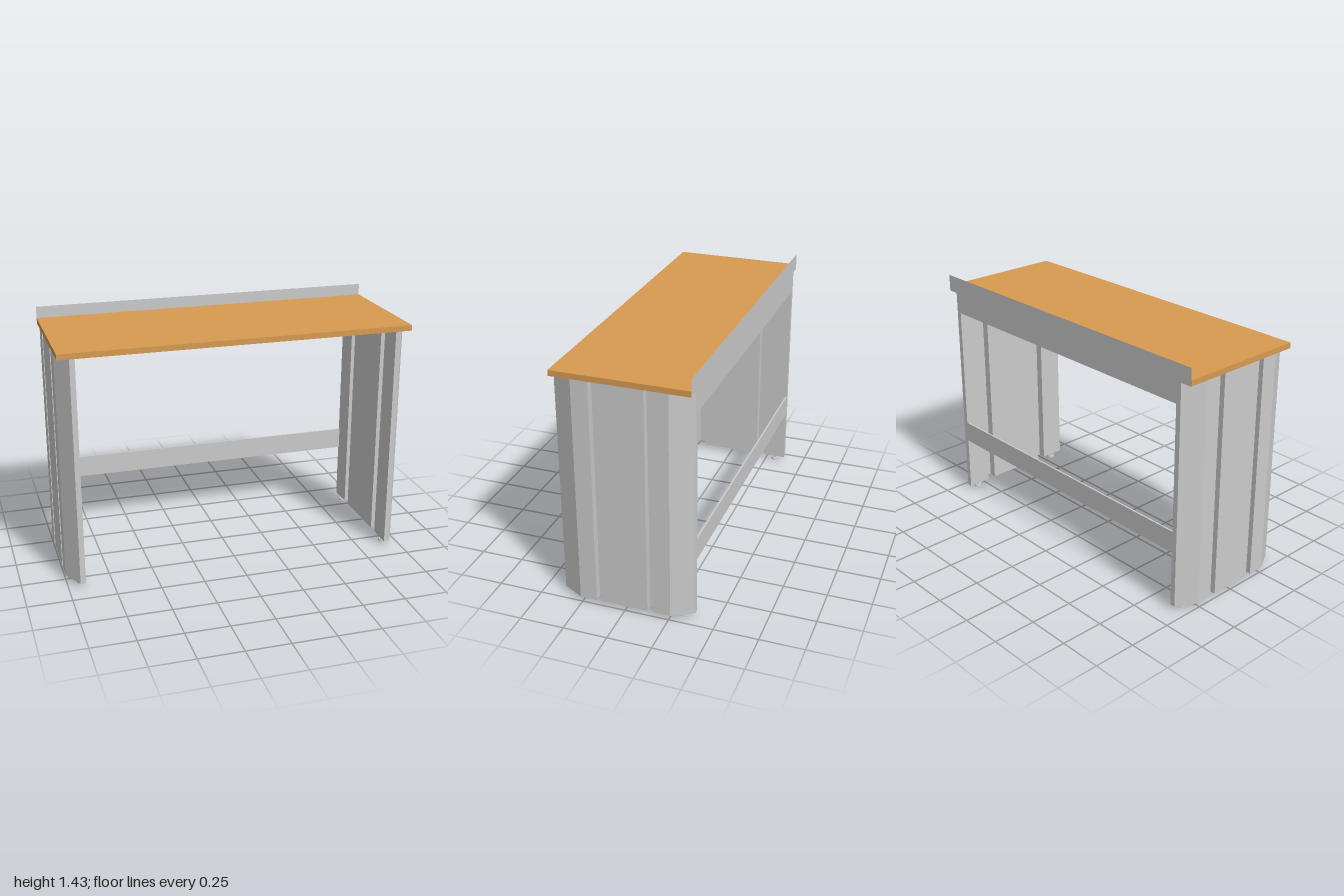
import * as THREE from 'three';

const GREY = 0xcccccc;
const WOOD = 0xd89b52;

function makeMesh(name, geometry, material) {
  const mesh = new THREE.Mesh(geometry, material);
  mesh.name = name;
  return mesh;
}

function box(name, w, h, d, x, y, z, material) {
  const mesh = makeMesh(name, new THREE.BoxGeometry(w, h, d), material);
  mesh.position.set(x, y, z);
  return mesh;
}

// Plan outline of one side panel: chamfered outer corners, grooves on both faces
function panelShape(halfDepth) {
  const inner = 0.905, edge = 0.935, outer = 1.0, groove = 0.045;
  const half = [
    [inner, 0.185], [inner + groove, 0.185], [inner + groove, 0.235], [inner, 0.235],
    [inner, halfDepth], [edge, halfDepth], [outer, 0.26],
    [outer, 0.165], [outer - groove, 0.165], [outer - groove, 0.13], [outer, 0.13],
  ];
  const mirrored = half.map(([x, z]) => [x, -z]).reverse();
  return new THREE.Shape([...half, ...mirrored].map(([x, z]) => new THREE.Vector2(x, z)));
}

export function createModel() {
  const group = new THREE.Group();
  group.name = 'workbench';

  const grey = new THREE.MeshStandardMaterial({ color: GREY });
  const sheet = new THREE.MeshStandardMaterial({ color: GREY, side: THREE.DoubleSide });
  const wood = new THREE.MeshStandardMaterial({ color: WOOD });

  const halfDepth = 0.378, underTop = 1.333, panelBottom = 0.028;

  // Wooden worktop
  group.add(box('tabletop', 2, 0.032, 0.754, 0, underTop + 0.016, 0.001, wood));

  // Side panels, each standing on two levelling feet
  const panelGeometry = new THREE.ExtrudeGeometry(panelShape(halfDepth), {
    depth: underTop - panelBottom, bevelEnabled: false,
  });
  panelGeometry.rotateX(-Math.PI / 2);
  const padGeometry = new THREE.CylinderGeometry(0.02, 0.022, 0.013, 24);
  const stemGeometry = new THREE.CylinderGeometry(0.01, 0.01, 0.02, 16);

  for (const side of [1, -1]) {
    const leg = new THREE.Group();
    leg.name = side > 0 ? 'leftLeg' : 'rightLeg';
    const panel = makeMesh('sidePanel', panelGeometry, grey);
    panel.position.y = panelBottom;
    leg.add(panel);
    for (const z of [0.31, -0.31]) {
      const pad = makeMesh('footPad', padGeometry, grey);
      pad.position.set(0.922, 0.0065, z);
      const stem = makeMesh('footStem', stemGeometry, grey);
      stem.position.set(0.922, 0.02, z);
      leg.add(pad, stem);
    }
    // The leg is symmetric front to back, so a half turn mirrors it
    if (side < 0) leg.rotation.y = Math.PI;
    group.add(leg);
  }

  // Rear rails between the panels
  const railZ = -halfDepth + 0.005;
  group.add(box('upperRail', 1.81, 0.121, 0.01, 0, 1.2725, railZ, grey));
  group.add(box('lowerRail', 1.81, 0.125, 0.01, 0, 0.4175, railZ, grey));

  // Thin sheet upstand along the back edge
  const upstand = makeMesh('backUpstand', new THREE.PlaneGeometry(2, 0.098), sheet);
  upstand.position.set(0, 1.382, -halfDepth);
  group.add(upstand);

  return group;
}
